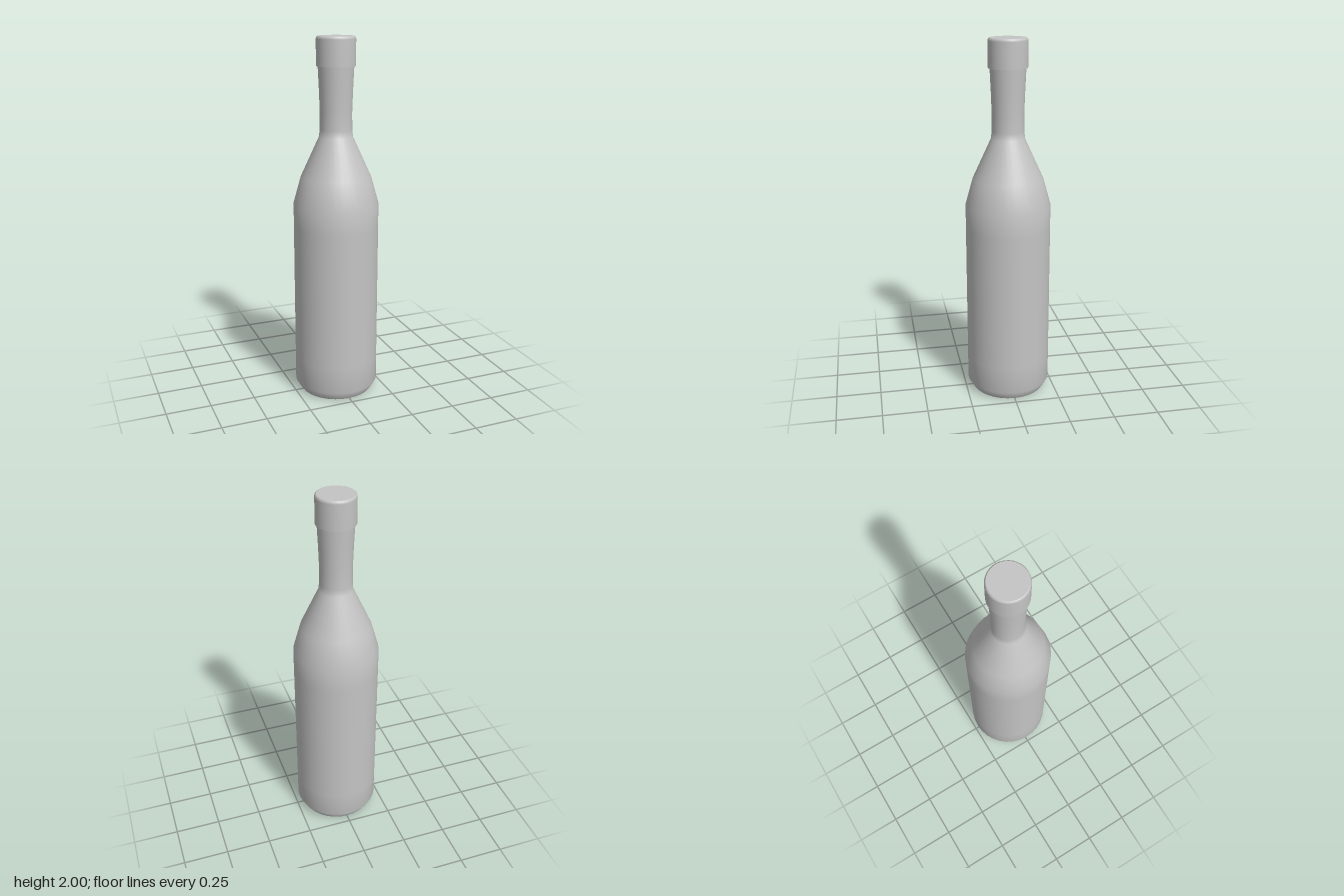
import * as THREE from 'three';

const SEGMENTS = 32;

export function createModel() {
  const group = new THREE.Group();
  group.name = 'bottle';
  const grey = new THREE.MeshStandardMaterial({ color: 0xc4c4c4 });
  grey.name = 'pale grey';

  // Turn a [radius, height] profile, listed upwards, around the y axis
  const turn = (name, profile) => {
    const points = profile.map(([r, y]) => new THREE.Vector2(r, y));
    const mesh = new THREE.Mesh(new THREE.LatheGeometry(points, SEGMENTS), grey);
    mesh.name = name;
    group.add(mesh);
  };

  // Flat underside, separate so its rim stays sharp
  turn('base', [[0, 0], [0.205, 0]]);

  // Chamfered foot, straight body, sloping shoulder and slightly flared neck
  turn('body', [
    [0.205, 0], [0.235, 0.05], [0.235, 0.2], [0.235, 0.97], [0.235, 1.1],
    [0.193, 1.25], [0.092, 1.47], [0.088, 1.51], [0.087, 1.6],
    [0.091, 1.72], [0.097, 1.845],
  ]);

  // Cap: lower lip, straight wall and softly bevelled top
  turn('capLip', [[0.09, 1.845], [0.106, 1.845]]);
  turn('cap', [[0.106, 1.845], [0.106, 1.86], [0.106, 1.985], [0.104, 1.995], [0.098, 2]]);
  turn('capTop', [[0.098, 2], [0, 2]]);

  return group;
}
